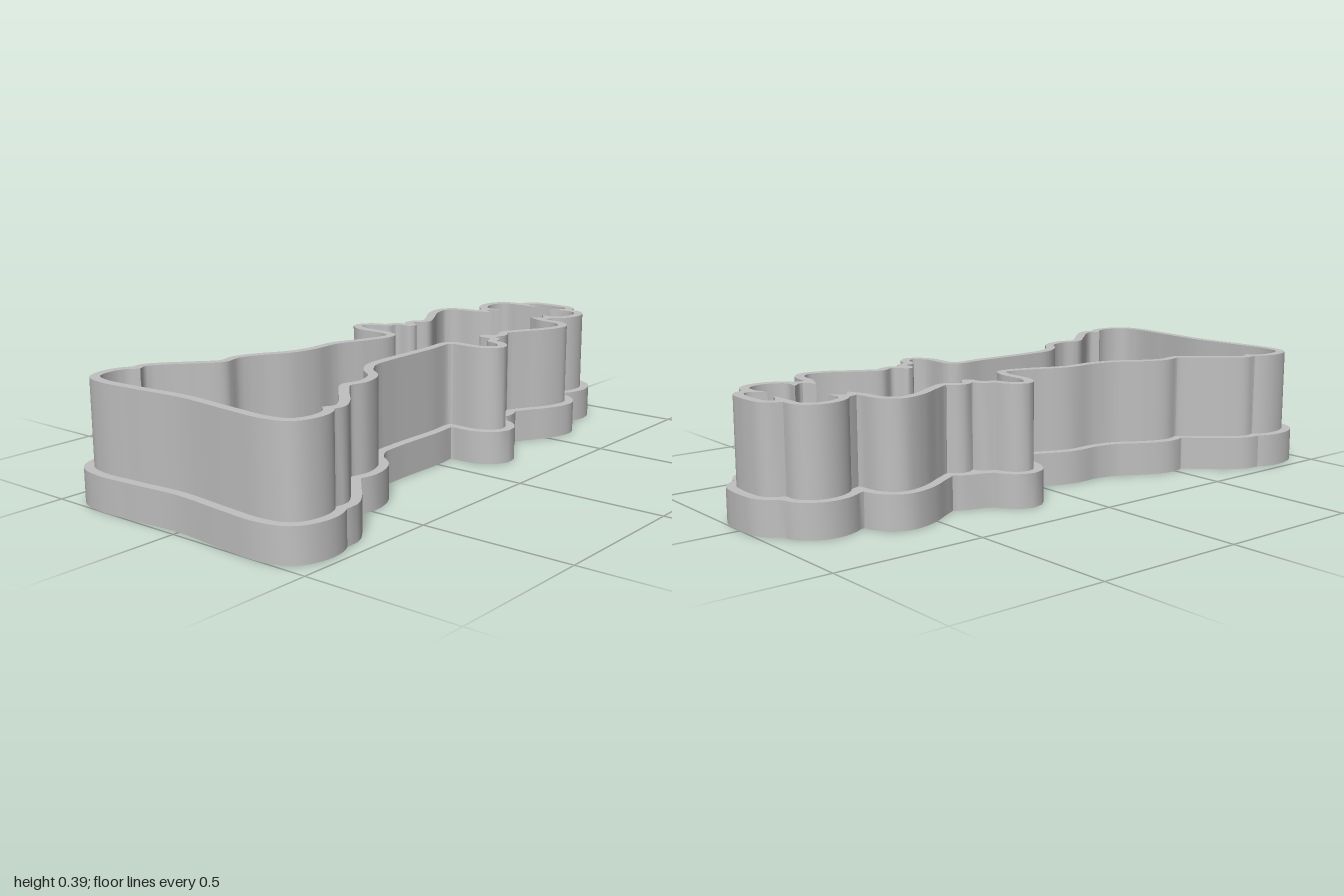
import * as THREE from 'three';
import { toCreasedNormals } from 'three/addons/utils/BufferGeometryUtils.js';

const BASE_HEIGHT = 0.11, TOTAL_HEIGHT = 0.385;
const WALL_THICKNESS = 0.031, BASE_THICKNESS = 0.062;

// Inner outline as x, z pairs in hundredths. Shared parts are mirrored to both sides.
const knob = [-1, -88, -5, -89.8, -7.2, -91.3, -5.8, -93.1, -1.5, -93.8, 3, -93.8, 7.7, -93, 9, -91, 6, -86];
const crown = [10, -87.5, 15, -87, 17.5, -83.5, 17.3, -78.5, 14.5, -74.5, 9.3, -74.8];
const notch = [9.3, -74.8, 12.2, -70.7, 8.6, -67.8];
const head = [8.6, -67.8, 14.5, -65.2, 22, -63.8, 24.8, -61, 24.7, -58, 23, -53, 18.7, -45.7, 15.5, -38.5];
const collar = [18, -33.2, 14.2, -29.8, 15.2, -27.1, 20.2, -26.2, 21.2, -22.8, 27, -20.2,
  28.7, -17.5, 25.2, -14.8, 13.8, -14];
const leftStem = [11, -11, 11.5, 0, 11.5, 21, 12.5, 30, 17, 37];
const rightStem = [9.5, -11.5, 8.5, -7, 11, 2, 15, 12.5, 15, 23, 17, 32];
const skirt = [22.5, 41.5, 24.8, 48, 23.8, 55, 29.8, 63, 35.8, 69.8, 38.5, 74.5, 36.9, 78];
const foot = [36.9, 78, 39.8, 81, 40.7, 86, 38.7, 91.8, 32.5, 93.8, 19, 93.2];
const COLLAR_SHIFT = -0.5;

// Turn pairs into points on one side, with z pointing down the drawing plane
function place(pairs, side = 1, shift = 0) {
  const points = [];
  for (let i = 0; i < pairs.length; i += 2) {
    points.push(new THREE.Vector3((side * pairs[i] + shift) / 100, -pairs[i + 1] / 100, 0));
  }
  return points;
}

// Smooth runs of one side, from the knob down to the foot
function sideRuns(side, knobTip, stem) {
  return [
    [knobTip, ...place(crown, side)],
    place(notch, side),
    [...place(head, side), ...place(collar, side, COLLAR_SHIFT), ...place(stem, side), ...place(skirt, side)],
  ];
}

// Join all runs, sharp where they meet, into one evenly sampled clockwise loop
function innerOutline() {
  const top = place(knob);
  const left = sideRuns(1, top[top.length - 1], leftStem);
  const right = sideRuns(-1, top[0], rightStem);
  const bottom = [...place(foot), new THREE.Vector3(0, -0.917, 0), ...place(foot, -1).reverse()];
  const runs = [top, ...left, bottom, ...right.reverse().map((run) => run.reverse())];
  return runs.flatMap((points) => {
    const curve = new THREE.CatmullRomCurve3(points);
    const samples = curve.getSpacedPoints(Math.ceil(curve.getLength() / 0.009));
    return samples.slice(0, -1).map((p) => new THREE.Vector2(p.x, p.y));
  });
}

// Push the loop outwards, dropping points swallowed by neighbouring walls
function offsetOutline(loop, distance) {
  const n = loop.length;
  return loop
    .map((p, i) => {
      const t = loop[(i + 1) % n].clone().sub(loop[(i + n - 1) % n]).normalize();
      return new THREE.Vector2(p.x - t.y * distance, p.y + t.x * distance);
    })
    .filter((q) => loop.every((p) => p.distanceTo(q) > distance - 0.0008));
}

// Upright band between the inner loop and its offset; the outer loop runs
// anticlockwise and the hole clockwise so that both walls face outwards
function band(name, inner, thickness, bottom, top, material) {
  const shape = new THREE.Shape(offsetOutline(inner, thickness).reverse());
  shape.holes.push(new THREE.Path(inner));
  const extruded = new THREE.ExtrudeGeometry(shape, { depth: top - bottom, bevelEnabled: false });
  extruded.rotateX(-Math.PI / 2).translate(0, bottom, 0);
  const mesh = new THREE.Mesh(toCreasedNormals(extruded, 0.6), material);
  mesh.name = name;
  return mesh;
}

export function createModel() {
  const group = new THREE.Group();
  group.name = 'cookieCutter';
  const grey = new THREE.MeshStandardMaterial({ color: 0xc0c0c0 });
  grey.name = 'grey plastic';
  const inner = innerOutline();
  group.add(
    band('baseRim', inner, BASE_THICKNESS, 0, BASE_HEIGHT, grey),
    band('cuttingWall', inner, WALL_THICKNESS, BASE_HEIGHT, TOTAL_HEIGHT, grey),
  );
  return group;
}
